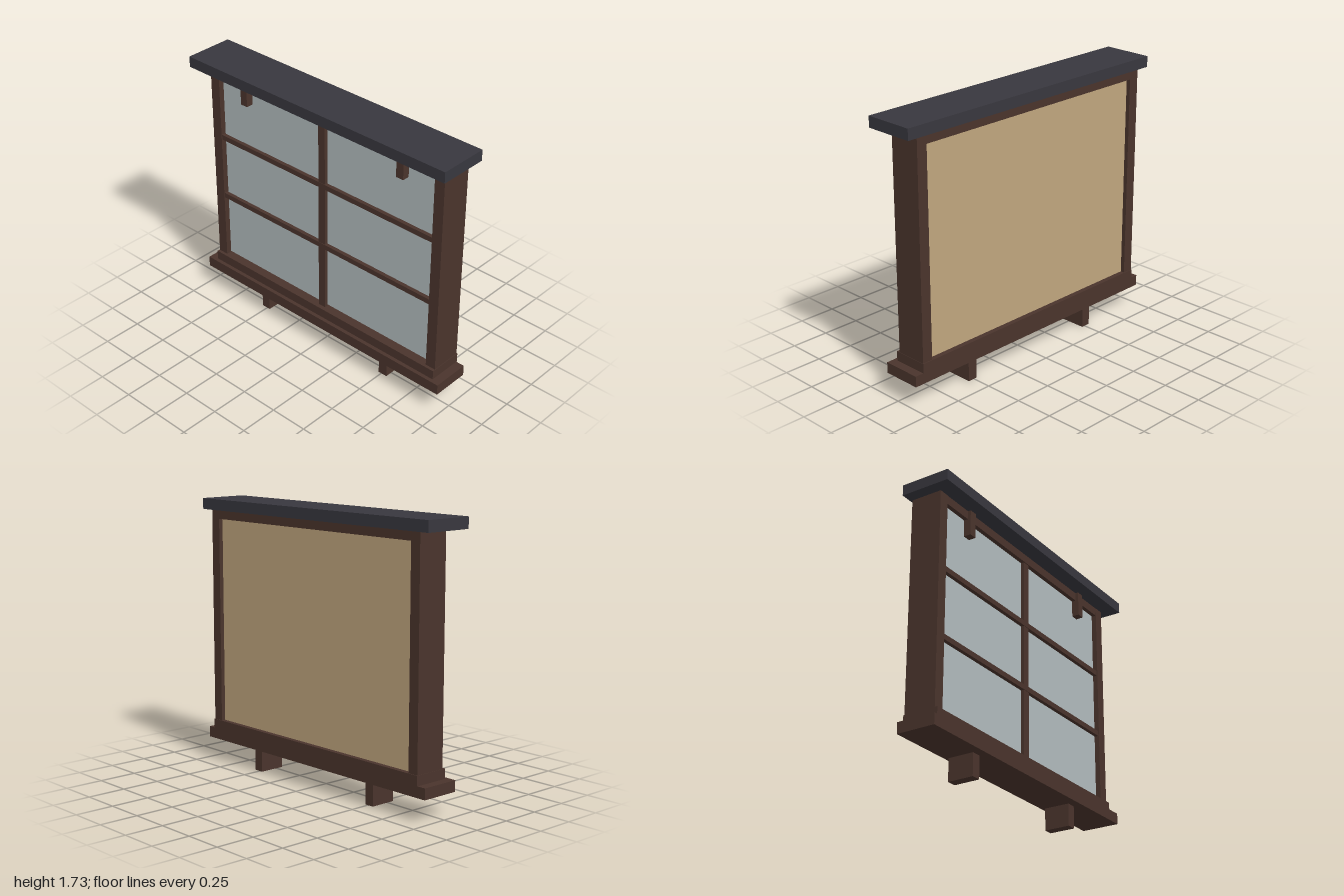
import * as THREE from 'three';

export function createModel() {
  const model = new THREE.Group();
  model.name = 'window';

  const material = (name, color) => {
    const m = new THREE.MeshStandardMaterial({ color });
    m.name = name;
    return m;
  };
  const wood = material('dark wood', 0x4a342c);
  const slate = material('slate roof', 0x38373e);
  const paper = material('tan backing', 0xc0a67e);
  const glass = material('pale glass', 0xb2bcbe);

  // Box given by its limits along each axis
  const block = (name, mat, [x0, x1], [y0, y1], [z0, z1]) => {
    const mesh = new THREE.Mesh(new THREE.BoxGeometry(x1 - x0, y1 - y0, z1 - z0), mat);
    mesh.position.set((x0 + x1) / 2, (y0 + y1) / 2, (z0 + z1) / 2);
    mesh.name = name;
    model.add(mesh);
  };

  // Roof slab and sill
  block('roof', slate, [-1, 1], [1.655, 1.725], [-0.162, 0.162]);
  block('sill', wood, [-0.985, 0.985], [0.143, 0.213], [-0.147, 0.105]);

  // Outer frame
  block('bottomRail', wood, [-0.928, 0.928], [0.213, 0.275], [-0.152, 0.08]);
  block('topRail', wood, [-0.856, 0.856], [1.6, 1.655], [-0.147, 0.058]);

  // Mirrored posts, feet and hanging brackets
  for (const [side, s] of [['left', 1], ['right', -1]]) {
    const centred = (x, width) => [s * x - width / 2, s * x + width / 2];
    block(side + 'Post', wood, centred(0.89, 0.07), [0.275, 1.655], [-0.147, 0.06]);
    block(side + 'Foot', wood, centred(0.51, 0.063), [0, 0.143], [-0.122, 0.047]);
    block(side + 'Bracket', wood, centred(0.62, 0.052), [1.49, 1.655], [0.025, 0.078]);
  }

  // Glazing bars
  block('verticalBar', wood, [-0.026, 0.026], [0.275, 1.6], [0.02, 0.052]);
  for (const y of [0.736, 1.169]) {
    block('horizontalBar', wood, [-0.856, 0.856], [y - 0.017, y + 0.017], [0.02, 0.055]);
  }

  // Glass pane, slightly smaller than the opening, with the backing behind it
  block('glassPane', glass, [-0.848, 0.85], [0.287, 1.6], [0.022, 0.03]);
  block('backPanel', paper, [-0.856, 0.856], [0.275, 1.6], [-0.12, -0.11]);

  return model;
}
